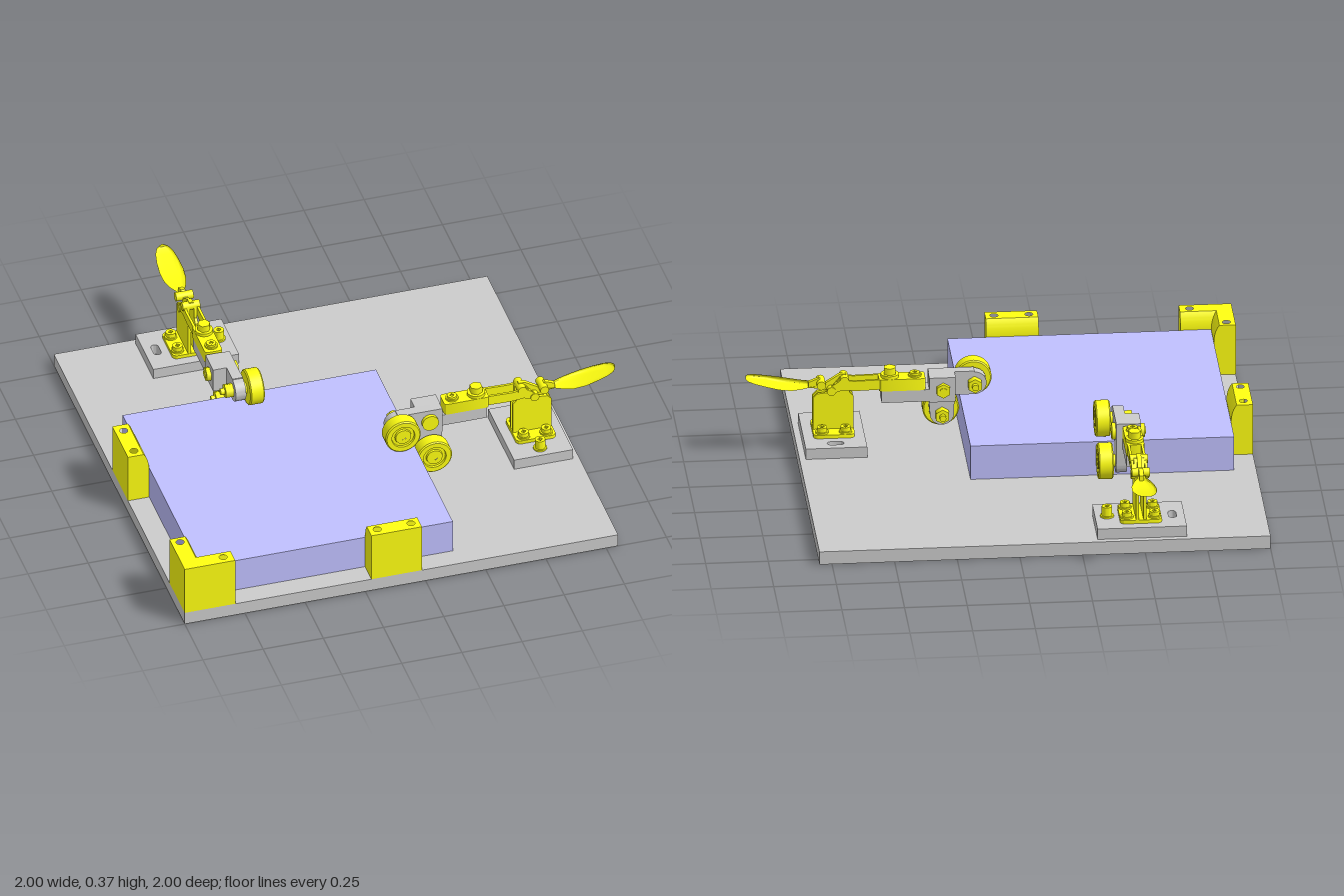
import * as THREE from 'three';
import { toCreasedNormals } from 'three/addons/utils/BufferGeometryUtils.js';

const material = (color) => new THREE.MeshStandardMaterial({ color });
const grey = material(0xcccccc), yellow = material(0xffff11), blue = material(0xc0c0ff);

function add(parent, name, geometry, mat, x = 0, y = 0, z = 0) {
  const mesh = new THREE.Mesh(geometry, mat);
  mesh.name = name;
  mesh.position.set(x, y, z);
  parent.add(mesh);
  return mesh;
}
// Box given by its limits
function box(parent, name, mat, x0, x1, y0, y1, z0, z1) {
  return add(parent, name, new THREE.BoxGeometry(x1 - x0, y1 - y0, z1 - z0), mat,
    (x0 + x1) / 2, (y0 + y1) / 2, (z0 + z1) / 2);
}
// Upright and crosswise cylinders given by their end positions
function post(parent, name, x, z, y0, y1, r, sides = 24, mat = yellow) {
  return add(parent, name, new THREE.CylinderGeometry(r, r, y1 - y0, sides), mat, x, (y0 + y1) / 2, z);
}
function pin(parent, name, x, y, z0, z1, r, sides = 24) {
  return add(parent, name, new THREE.CylinderGeometry(r, r, z1 - z0, sides).rotateX(Math.PI / 2),
    yellow, x, y, (z0 + z1) / 2);
}
const polygon = (pts) => new THREE.Shape(pts.map(([x, y]) => new THREE.Vector2(x, y)));
const hole = (x, y, r) => new THREE.Path().absarc(x, y, r, 0, Math.PI * 2, true);
function extrude(shape, depth) {
  return toCreasedNormals(new THREE.ExtrudeGeometry(shape,
    { depth, bevelEnabled: false, curveSegments: 10 }), 0.6);
}
// Plan shape drawn in (x, -z), raised from y0 to y1
function slab(parent, name, mat, shape, y0, y1) {
  return add(parent, name, extrude(shape, y1 - y0).rotateX(-Math.PI / 2), mat, 0, y0, 0);
}
function roundedRect(x0, x1, y0, y1, r) {
  const s = new THREE.Shape();
  s.absarc(x1 - r, y1 - r, r, 0, Math.PI / 2);
  s.absarc(x0 + r, y1 - r, r, Math.PI / 2, Math.PI);
  s.absarc(x0 + r, y0 + r, r, Math.PI, Math.PI * 1.5);
  s.absarc(x1 - r, y0 + r, r, Math.PI * 1.5, Math.PI * 2);
  return s;
}
// Socket head screw with washer
function screw(parent, x, z, y, r, h) {
  post(parent, 'washer', x, z, y, y + 0.007, r * 1.3);
  const s = new THREE.Shape().absarc(0, 0, r, 0, Math.PI * 2);
  s.holes.push(new THREE.Path(new THREE.Shape().absarc(0, 0, r * 0.5, 0, Math.PI * 2, true).getPoints(2)));
  post(parent, 'screwCore', x, z, y, y + h * 0.6, r * 0.7);
  add(parent, 'screwHead', extrude(s, h).rotateX(-Math.PI / 2), yellow, x, y, z);
}

// Locators: body with a dowel hole and a screw hole, lead-in lip on the inner side
const LOW = 0.055, TOP = 0.27;
function lip(length) {
  const s = new THREE.Shape();
  s.moveTo(0, LOW);
  s.lineTo(0.022, LOW);
  s.lineTo(0.022, 0.205);
  s.quadraticCurveTo(0.02, 0.245, 0, TOP);
  s.closePath();
  return extrude(s, length);
}
function locator(parent, name, outline, holes, lips) {
  const g = new THREE.Group();
  g.name = name;
  const s = polygon(outline.map(([x, z]) => [x, -z]));
  holes.forEach(([x, z]) => s.holes.push(hole(x, -z, 0.016)));
  slab(g, 'locatorBody', yellow, s, LOW, TOP);
  const [sx, sz] = holes[1];
  post(g, 'locatorScrew', sx, sz, LOW, TOP - 0.03, 0.0155);
  // a lip faces +x, or is turned to face -z
  lips.forEach(([x, z, length, turned]) => {
    const m = add(g, 'locatorLip', lip(length), yellow, x, 0, z);
    if (turned) m.rotation.y = Math.PI / 2;
  });
  parent.add(g);
}

// Handle grip: a tube reshaped by width, height and centre line
function grip() {
  const sections = [ // x, centre y, half width, half thickness
    [0.70, 0.308, 0.014, 0.014], [0.75, 0.302, 0.018, 0.013], [0.78, 0.302, 0.034, 0.014],
    [0.82, 0.304, 0.046, 0.017], [0.87, 0.312, 0.050, 0.018], [0.92, 0.323, 0.046, 0.016],
    [0.965, 0.333, 0.038, 0.014], [0.99, 0.338, 0.026, 0.011], [1.0, 0.34, 0.009, 0.007]];
  const n = sections.length - 1;
  const geo = new THREE.CylinderGeometry(1, 1, n, 24, n);
  const p = geo.attributes.position;
  for (let i = 0; i < p.count; i++) {
    const [x, y, w, t] = sections[Math.round(n / 2 - p.getY(i))];
    const across = p.getX(i), up = p.getZ(i);
    // arched section, hollow underneath
    p.setXYZ(i, x, y + up * t - across * across * t * 0.5 + t * 0.25, across * w);
  }
  // the reshaping keeps the outward winding
  return toCreasedNormals(geo, 0.8);
}

function roller(parent, x, y) {
  const profile = [[0.012, 0.07], [0.068, 0.07], [0.073, 0.075], [0.073, 0.125], [0.068, 0.13],
    [0.048, 0.13], [0.046, 0.122], [0.034, 0.122], [0.032, 0.13], [0.012, 0.13]];
  const geo = new THREE.LatheGeometry(profile.map(([r, h]) => new THREE.Vector2(r, h)), 40);
  add(parent, 'roller', toCreasedNormals(geo.rotateX(Math.PI / 2), 0.6), yellow, x, y, 0);
  pin(parent, 'rollerAxle', x, y, -0.035, 0.128, 0.013);
  pin(parent, 'rollerSpacer', x, y, 0.055, 0.072, 0.025);
  pin(parent, 'rollerNut', x, y, -0.018, 0.015, 0.03, 6);
}

// Toggle clamp lying along x, centred on z = 0
function toggleClamp(name) {
  const g = new THREE.Group();
  g.name = name;

  // Mounting plate with adjustment slot
  const plate = polygon([[0.53, -0.178], [0.775, -0.178], [0.775, 0.178], [0.53, 0.178]]);
  const slot = new THREE.Path();
  slot.absarc(0.67, 0.13, 0.016, -Math.PI / 2, Math.PI / 2);
  slot.absarc(0.635, 0.13, 0.016, Math.PI / 2, Math.PI * 1.5);
  slot.closePath();
  plate.holes.push(slot);
  slab(g, 'mountingPlate', grey, plate, LOW, 0.1);
  screw(g, 0.652, 0.13, 0.1, 0.021, 0.045);

  // Bracket: foot, four screws, two upright cheeks
  slab(g, 'bracketFoot', yellow, roundedRect(0.57, 0.735, -0.083, 0.083, 0.02), 0.1, 0.115);
  for (const x of [0.606, 0.7]) for (const z of [-0.055, 0.055]) screw(g, x, z, 0.115, 0.02, 0.025);
  const cheek = polygon([[0.572, 0.11], [0.733, 0.11], [0.733, 0.25], [0.715, 0.268], [0.675, 0.272],
    [0.625, 0.335], [0.6, 0.34], [0.588, 0.32], [0.588, 0.272], [0.572, 0.255]]);
  for (const z of [-0.021, 0.009]) add(g, 'bracketCheek', extrude(cheek, 0.012), yellow, 0, 0, z);

  // Clamp arm: two bars at the back, holder in front
  const bar = polygon([[0.44, 0.283], [0.56, 0.28], [0.615, 0.285], [0.668, 0.268], [0.678, 0.288],
    [0.62, 0.33], [0.57, 0.322], [0.44, 0.325]]);
  for (const z of [-0.032, 0.022]) add(g, 'armBar', extrude(bar, 0.01), yellow, 0, 0, z);
  slab(g, 'armHolder', yellow, roundedRect(0.285, 0.47, -0.036, 0.036, 0.012), 0.275, 0.325);
  box(g, 'armExtension', grey, 0.265, 0.46, 0.225, 0.276, -0.035, 0.035);
  post(g, 'armWasher', 0.425, 0, 0.325, 0.338, 0.036);
  post(g, 'armBolt', 0.425, 0, 0.338, 0.366, 0.026, 6);
  screw(g, 0.325, 0, 0.325, 0.02, 0.016);

  // Handle with link and pivots
  add(g, 'handleGrip', grip(), yellow);
  const lever = polygon([[0.595, 0.315], [0.625, 0.315], [0.66, 0.27], [0.69, 0.285], [0.75, 0.29],
    [0.75, 0.314], [0.71, 0.33], [0.68, 0.31], [0.625, 0.345], [0.6, 0.345]]);
  add(g, 'handleLever', extrude(lever, 0.018), yellow, 0, 0, -0.009);
  for (const [x, y] of [[0.608, 0.325], [0.66, 0.282], [0.7, 0.308]])
    pin(g, 'linkPivot', x, y, -0.036, 0.036, 0.018);

  // Roller head: end block, angled rocker, two rollers
  box(g, 'endBlock', grey, 0.165, 0.27, 0.222, 0.327, -0.04, 0.02);
  const rocker = new THREE.Shape();
  rocker.moveTo(0.268, 0.327);
  rocker.lineTo(0.085, 0.327);
  rocker.absarc(0.085, 0.275, 0.048, Math.PI / 2, Math.PI * 1.5);
  rocker.lineTo(0.165, 0.227);
  rocker.absarc(0.215, 0.147, 0.048, Math.PI, Math.PI * 2);
  rocker.lineTo(0.268, 0.222);
  rocker.closePath();
  add(g, 'rocker', extrude(rocker, 0.043), grey, 0, 0, 0.016);
  roller(g, 0.085, 0.275);
  roller(g, 0.215, 0.147);
  pin(g, 'rockerPivot', 0.215, 0.275, -0.062, 0.074, 0.015);
  pin(g, 'rockerPivotHead', 0.215, 0.275, 0.058, 0.074, 0.034);
  pin(g, 'rockerPivotNut', 0.215, 0.275, -0.058, -0.04, 0.03, 6);
  return g;
}

export function createModel() {
  const model = new THREE.Group();
  model.name = 'clampingFixture';

  // Base plate with dowel holes
  const base = polygon([[-1, -1], [0.8, -1], [0.8, 0.8], [-1, 0.8]]);
  for (const [x, z] of [[-0.965, 0.045], [-0.19, 0.965], [-0.965, 0.82], [0.652, 0.155], [-0.62, -0.652]])
    base.holes.push(hole(x, -z, 0.011));
  slab(model, 'basePlate', grey, base, 0, LOW);

  // Workpiece held by the fixture
  box(model, 'workpiece', blue, -0.912, 0.14, LOW, 0.2, -0.145, 0.912);

  // Two straight locators and one corner locator
  const c = 0.935;
  locator(model, 'sideLocator', [[-1, 0.005], [-c, 0.005], [-c, 0.22], [-1, 0.22]],
    [[-0.965, 0.045], [-0.965, 0.185]], [[-c, 0.005, 0.215, false]]);
  locator(model, 'frontLocator', [[-0.225, c], [-0.015, c], [-0.015, 1], [-0.225, 1]],
    [[-0.19, 0.965], [-0.05, 0.965]], [[-0.225, c, 0.21, true]]);
  locator(model, 'cornerLocator', [[-1, 0.79], [-c, 0.79], [-c, c], [-0.79, c], [-0.79, 1], [-1, 1]],
    [[-0.965, 0.82], [-0.83, 0.965]], [[-c, 0.79, 0.145, false], [-c, c, 0.145, true]]);

  // Two identical clamps at right angles
  const rightClamp = toggleClamp('sideClamp');
  rightClamp.position.set(0, 0, 0.285);
  const backClamp = toggleClamp('backClamp');
  backClamp.position.set(-0.49, 0, 0);
  backClamp.rotation.y = Math.PI / 2;
  model.add(rightClamp, backClamp);
  return model;
}
